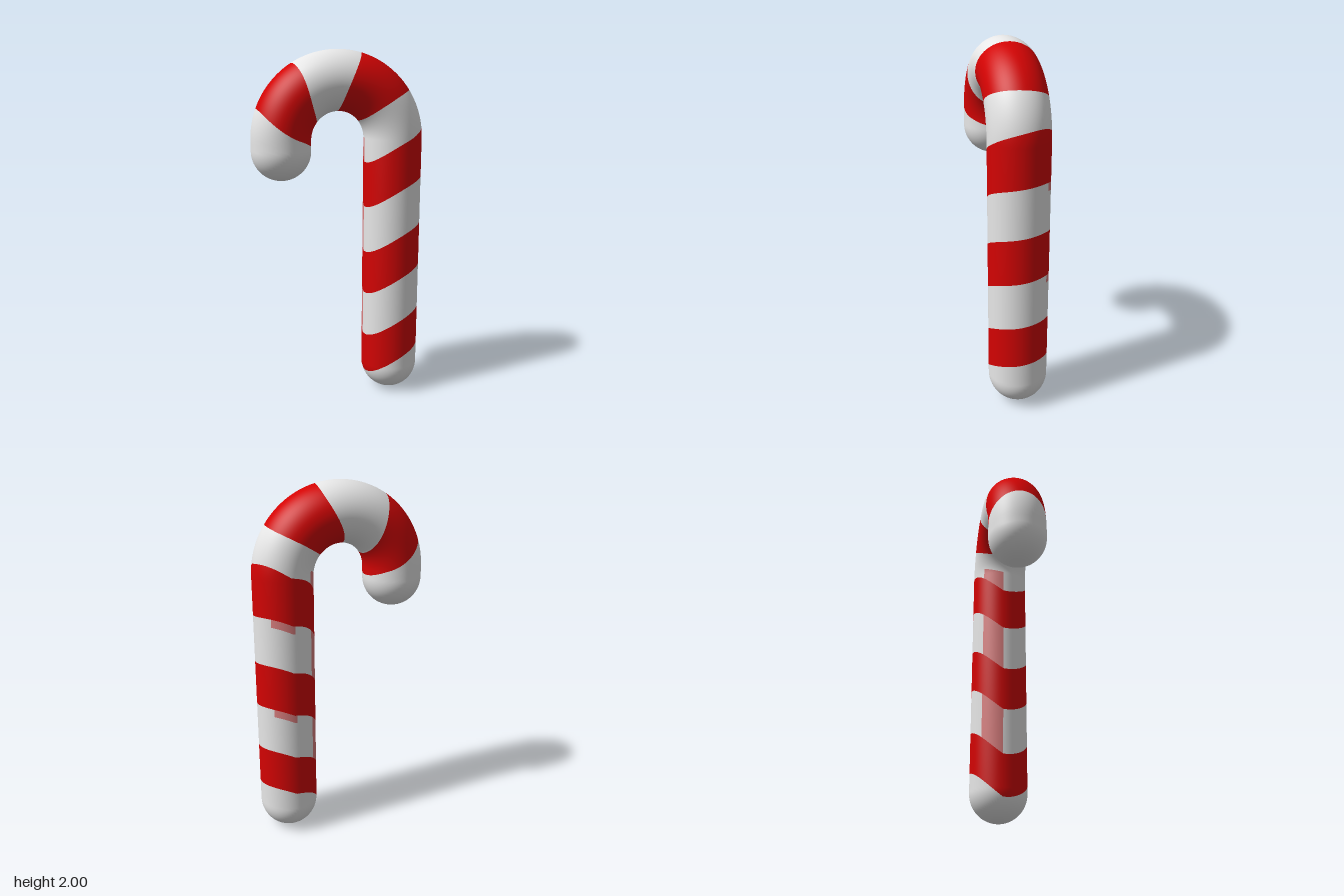
import * as THREE from 'three';

const TUBE = 0.165;          // thickness of the cane
const HOOK = 0.32;           // radius of the hook's centre line
const BEND = 1.515;          // height where the hook begins
const ARC_END = BEND + Math.PI * HOOK;
const END = ARC_END + 0.055 + TUBE;
const SIDES = 72;

// Point and normal at length s along the cane and angle phi (0 = outer side, 90 = back)
function surface(s, phi) {
  const a = THREE.MathUtils.clamp((s - BEND) / HOOK, 0, Math.PI);
  const out = new THREE.Vector3(Math.cos(a), Math.sin(a), 0);
  const along = new THREE.Vector3(-Math.sin(a), Math.cos(a), 0);
  const capOffset = s < TUBE ? s - TUBE : Math.max(0, s - (END - TUBE));
  const sin = THREE.MathUtils.clamp(capOffset / TUBE, -1, 1);
  const cos = Math.sqrt(1 - sin * sin);
  const straight = s < BEND ? s - BEND : Math.max(0, s - ARC_END);
  const normal = out.clone().multiplyScalar(Math.cos(phi) * cos)
    .addScaledVector(along, sin);
  normal.z = -Math.sin(phi) * cos;
  const point = out.clone().multiplyScalar(HOOK)
    .addScaledVector(along, straight - capOffset)
    .addScaledVector(normal, TUBE);
  point.y += BEND;
  return { point, normal };
}

// Smooth closed stripe edge through its inner, front, outer and back positions,
// with an optional rise between back and inner side
function edgeAt([inner, front, outer, back, rise = 0], phi) {
  return (inner + front + outer + back) / 4
    + (outer - inner) / 2 * Math.cos(phi)
    + (back - front) / 2 * Math.sin(phi)
    + (outer + inner - front - back) / 4 * Math.cos(2 * phi)
    + rise * Math.max(0, Math.sin(phi)) * Math.max(0, -Math.cos(phi));
}

// isSmudge(t, degrees) picks the faces of the second material
function bandGeometry(lower, upper, ease, rows, isSmudge) {
  const positions = [], normals = [], faces = [[], []];
  for (let j = 0; j <= rows; j++) {
    const t = ease(j / rows);
    for (let i = 0; i <= SIDES; i++) {
      const phi = i / SIDES * Math.PI * 2;
      const s = THREE.MathUtils.lerp(edgeAt(lower, phi), edgeAt(upper, phi), t);
      const { point, normal } = surface(s, phi);
      positions.push(...point.toArray());
      normals.push(...normal.toArray());
      if (i < SIDES && j < rows) {
        const a = j * (SIDES + 1) + i, b = a + 1, c = a + SIDES + 1, d = c + 1;
        faces[isSmudge(t, i / SIDES * 360) ? 1 : 0].push(a, b, c, b, d, c);
      }
    }
  }
  const geometry = new THREE.BufferGeometry();
  geometry.setAttribute('position', new THREE.Float32BufferAttribute(positions, 3));
  geometry.setAttribute('normal', new THREE.Float32BufferAttribute(normals, 3));
  geometry.setIndex(faces.flat());
  geometry.addGroup(0, faces[0].length, 0);
  geometry.addGroup(faces[0].length, faces[1].length, 1);
  return geometry;
}

export function createModel() {
  const material = (name, color) => {
    const m = new THREE.MeshStandardMaterial({ color });
    m.name = name;
    return m;
  };
  const white = material('white sugar', 0xeaeaea);
  const red = material('red sugar', 0xd30303);
  const pink = material('pink smudge', 0xdd8080);

  // Slanted edges on the stem, then edges round the hook given in degrees
  const stem = (low) => [low, low + 0.105, low + 0.18, low + 0.15, 0.08];
  const hook = (...degrees) => degrees.map((d) => BEND + HOOK * THREE.MathUtils.degToRad(d));
  const edges = [
    [0, 0, 0, 0],
    ...[0.12, 0.355, 0.615, 0.865, 1.13, 1.385].map(stem),
    hook(41, 39, 33.5, 36),
    hook(93, 83.5, 74.5, 78),
    hook(144, 127, 122, 129),
    hook(186, 171.5, 159, 172),
    [END, END, END, END],
  ];

  // Where red has run into the white on the back of the stem
  const backSeam = (degrees) => degrees >= 135 && degrees < 180;
  const smudges = {
    2: (t, deg) => backSeam(deg) || (t > 0.8 && deg >= 50 && deg < 95),
    4: (t, deg) => backSeam(deg) || (t > 0.8 && deg >= 50 && deg < 95),
    6: (t, deg) => backSeam(deg) && t < 0.35,
  };

  const cane = new THREE.Group();
  cane.name = 'candyCane';
  const last = edges.length - 2;
  for (let k = 0; k <= last; k++) {
    // Rows crowd towards the rounded tips
    const ease = k === 0 ? (t) => t * t : k === last ? (t) => 1 - (1 - t) ** 2 : (t) => t;
    const isRed = k % 2 === 1;
    const geometry = bandGeometry(edges[k], edges[k + 1], ease, 24, smudges[k] ?? (() => false));
    const band = new THREE.Mesh(geometry, [isRed ? red : white, pink]);
    band.name = k === 0 ? 'bottomTip' : k === last ? 'hookTip' : (isRed ? 'redStripe' : 'whiteStripe') + k;
    cane.add(band);
  }
  return cane;
}
